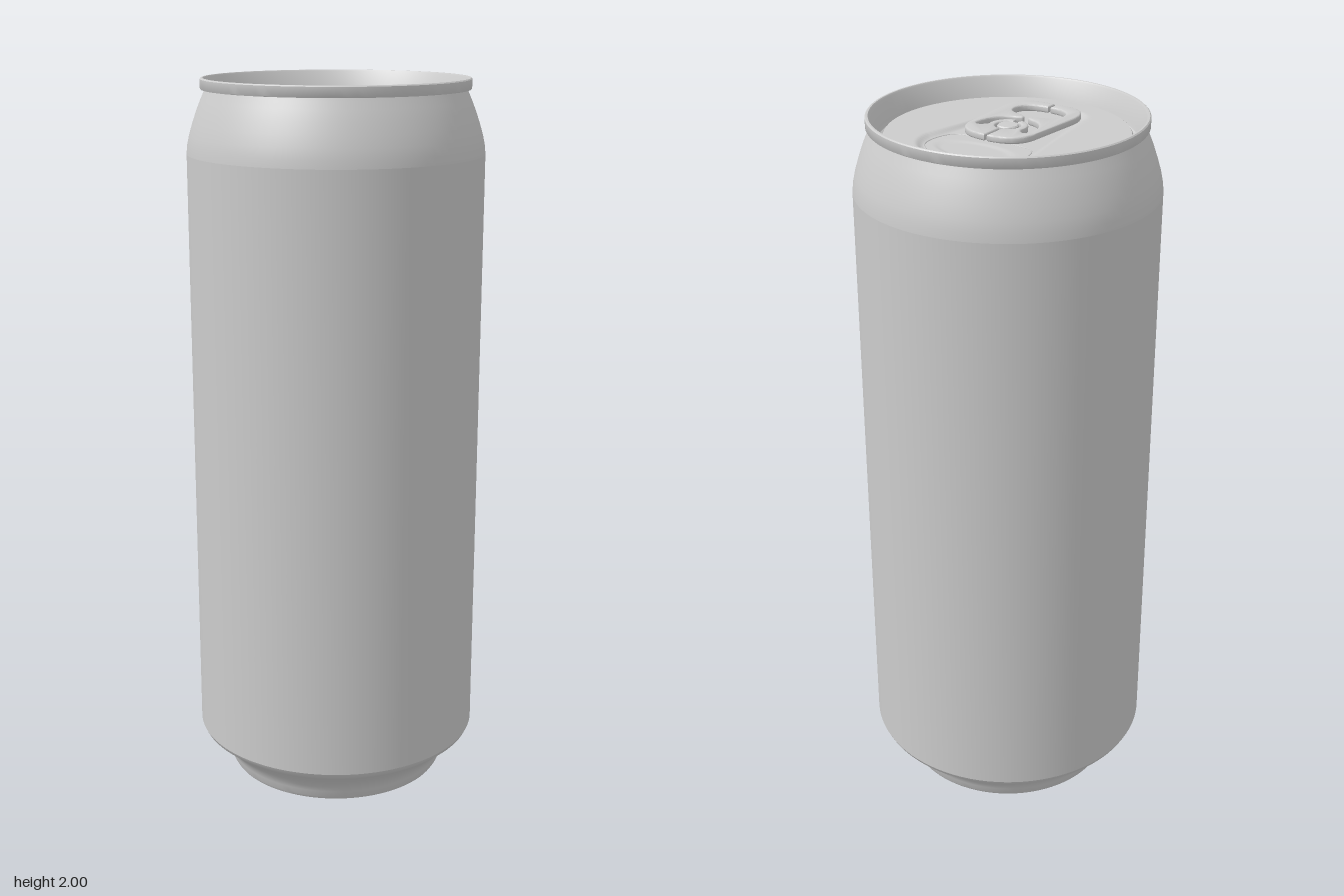
import * as THREE from 'three';
import { toCreasedNormals } from 'three/addons/utils/BufferGeometryUtils.js';

const material = new THREE.MeshStandardMaterial({ color: 0xcccccc, side: THREE.DoubleSide });
const PANEL_Y = 1.95, RECESS = 0.01;

function part(name, geometry) {
  const mesh = new THREE.Mesh(geometry, material);
  mesh.name = name;
  return mesh;
}

function lathe(name, profile, segments = 96) {
  const points = profile.map(([r, y]) => new THREE.Vector2(r, y));
  return part(name, toCreasedNormals(new THREE.LatheGeometry(points, segments), 0.6));
}

// Distance to a drop shape, wide at the back and narrow at the front
function dropDistance(x, z) {
  const t = THREE.MathUtils.clamp((z + 0.13) / 0.315, 0, 1);
  const px = Math.max(Math.abs(x) - 0.035, 0);
  return Math.hypot(px, z + 0.13 - 0.315 * t) - THREE.MathUtils.lerp(0.13, 0.075, t);
}

// Lid panel: a fine disc sunk by rule into a drop-shaped recess and a shallow mouth dimple
function lidPanel() {
  const geometry = new THREE.RingGeometry(0.001, 0.318, 128, 80);
  geometry.rotateX(-Math.PI / 2);
  const p = geometry.attributes.position;
  for (let i = 0; i < p.count; i++) {
    const x = p.getX(i), z = p.getZ(i);
    const recess = 1 - THREE.MathUtils.smoothstep(dropDistance(x, z), -0.018, 0);
    const mouth = Math.hypot(x / 0.12, (z + 0.15) / 0.06);
    const dimple = 1 - THREE.MathUtils.smoothstep(mouth, 0.8, 1);
    p.setY(i, PANEL_Y - RECESS * recess - 0.003 * dimple);
  }
  geometry.computeVertexNormals();
  return part('lidPanel', geometry);
}

// Score line around the mouth opening
function scoreLine() {
  const half = [[0.08, -0.225], [0.132, -0.18], [0.14, -0.125], [0.12, -0.072], [0.06, -0.058]];
  const outline = [[0, -0.235], ...half, ...half.slice().reverse().map(([x, z]) => [-x, z])];
  const curve = new THREE.CatmullRomCurve3(
    outline.map(([x, z]) => new THREE.Vector3(x, PANEL_Y - RECESS, z)), true);
  return part('mouthScoreLine', new THREE.TubeGeometry(curve, 96, 0.002, 6, true));
}

// One half of the pull tab, s = 1 for left and -1 for right
function tabHalf(s) {
  const shape = new THREE.Shape();
  const line = (x, y) => shape.lineTo(s * x, y);
  const bend = (a, b, c, d, e, f) => shape.bezierCurveTo(s * a, b, s * c, d, s * e, f);
  const arc = (r, from, to) => {
    for (let i = 0; i <= 16; i++) {
      const a = from + (to - from) * i / 16;
      line(r * Math.cos(a), r * Math.sin(a));
    }
  };
  // outer edge
  shape.moveTo(s * 0.004, -0.1);
  bend(0.07, -0.1, 0.1, -0.07, 0.101, -0.02);
  line(0.11, 0.14);
  bend(0.112, 0.2, 0.08, 0.226, 0.04, 0.226);
  line(0.004, 0.226);
  // finger hole and bridge
  line(0.004, 0.193);
  bend(0.05, 0.193, 0.075, 0.175, 0.075, 0.145);
  bend(0.075, 0.11, 0.05, 0.105, 0.02, 0.095);
  bend(0.002, 0.09, 0.002, 0.078, 0.02, 0.073);
  // slot around the rivet tongue
  bend(0.06, 0.065, 0.085, 0.03, 0.083, -0.02);
  bend(0.082, -0.038, 0.06, -0.038, 0.055, -0.02);
  arc(0.052, -0.3, 1.4);
  arc(0.034, 1.4, -1.45);
  shape.closePath();

  const geometry = new THREE.ExtrudeGeometry(shape, {
    depth: 0.01, curveSegments: 14,
    bevelThickness: 0.004, bevelSize: 0.004, bevelOffset: -0.004, bevelSegments: 3,
  });
  geometry.rotateX(Math.PI / 2);
  geometry.translate(0, PANEL_Y + 0.014, 0);
  return part(s > 0 ? 'pullTabLeft' : 'pullTabRight', toCreasedNormals(geometry, 0.7));
}

export function createModel() {
  const can = new THREE.Group();
  can.name = 'drinkCan';

  // Domed underside, standing ring and lower taper
  const dome = [];
  for (let i = 0; i <= 12; i++) {
    const r = 0.285 * i / 12;
    dome.push([r, 0.03 + 0.075 * (1 - (r / 0.285) ** 2)]);
  }
  can.add(lathe('base', [...dome, [0.293, 0.008], [0.3, 0], [0.308, 0], [0.314, 0.01],
    [0.318, 0.028], [0.326, 0.046], [0.34, 0.065], [0.36, 0.085], [0.385, 0.106],
    [0.399, 0.118], [0.405, 0.13]]));
  can.add(lathe('body', [[0.405, 0.13], [0.405, 1.8]]));
  can.add(lathe('neck', [[0.405, 1.8], [0.403, 1.822], [0.397, 1.85], [0.388, 1.88],
    [0.376, 1.915], [0.365, 1.942], [0.357, 1.96], [0.352, 1.972]]));

  // Seamed rim and the countersink groove inside it
  can.add(lathe('rim', [[0.352, 1.97], [0.363, 1.97], [0.365, 1.973], [0.365, 1.997],
    [0.362, 2], [0.357, 2], [0.354, 1.996], [0.339, 1.945], [0.335, 1.934], [0.329, 1.93],
    [0.324, 1.934], [0.321, 1.946], [0.318, PANEL_Y]]));

  can.add(lidPanel(), scoreLine());

  const tab = new THREE.Group();
  tab.name = 'pullTab';
  tab.add(tabHalf(1), tabHalf(-1));
  can.add(tab);

  can.add(lathe('rivet', [[0.04, PANEL_Y - RECESS], [0.036, PANEL_Y - 0.004], [0.028, PANEL_Y],
    [0.028, PANEL_Y + 0.016], [0.025, PANEL_Y + 0.019], [0, PANEL_Y + 0.02]], 32));
  return can;
}
